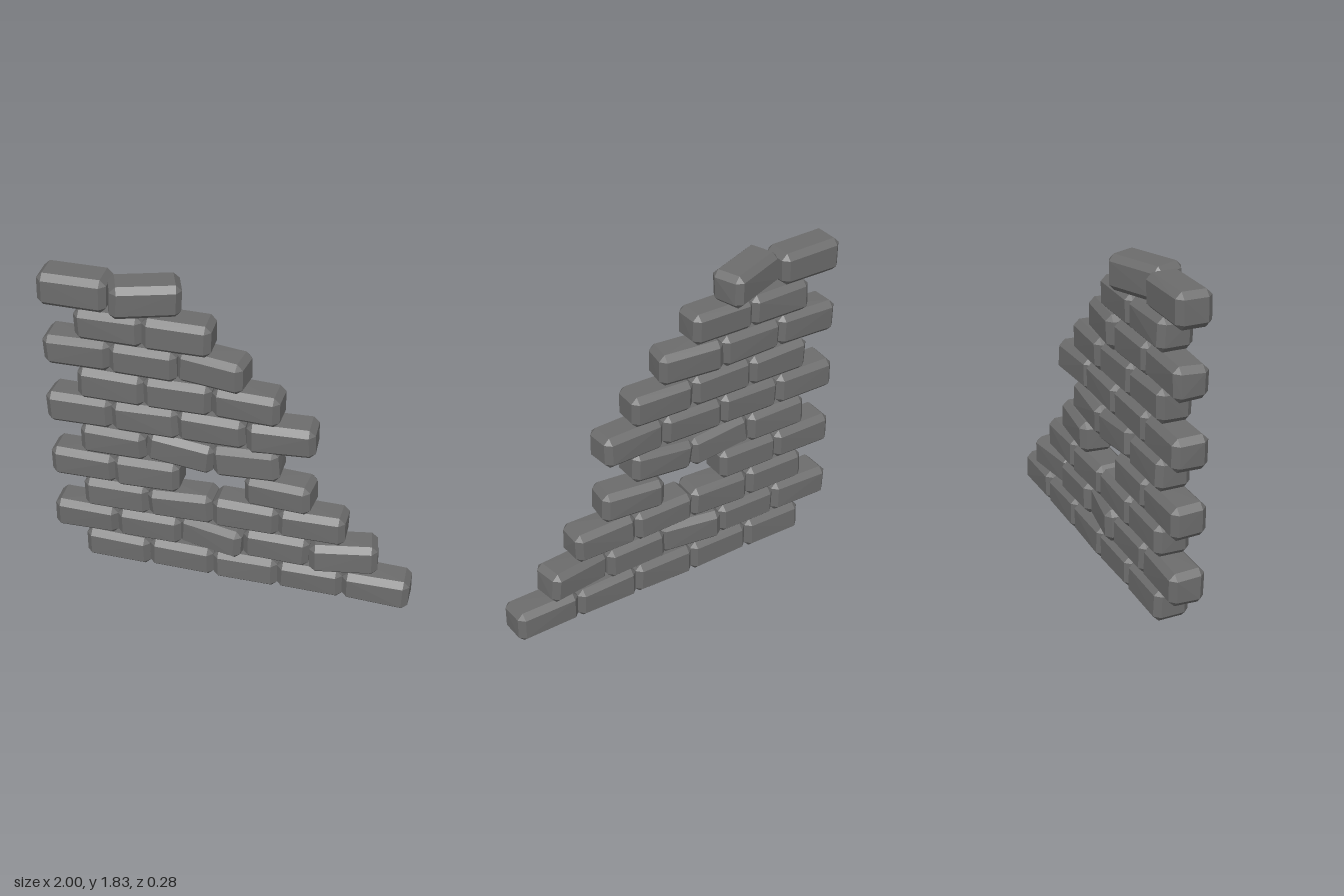
import * as THREE from 'three';
import { ConvexGeometry } from 'three/addons/geometries/ConvexGeometry.js';

const W = 0.364, H = 0.182, D = 0.188; // brick size
const BEVEL = 0.032;
const ROW = 0.1815; // course height

// Each course: list of [centre x, yaw degrees, roll degrees, z offset]
const COURSES = [
  [[-0.635, 0, 0], [-0.27, 0, -0.5], [0.09, 0, 1], [0.452, 0, 0], [0.815, 0, -1]],
  [[-0.812, 0, 0], [-0.452, 0, 0.5], [-0.094, -10, -1], [0.264, 0, 0], [0.625, 8, 2]],
  [[-0.633, 0, 0], [-0.27, 0, 2.5], [0.09, 0, -0.5], [0.452, 0, 0]],
  [[-0.812, 0, 0], [-0.457, 0, 1], [0.27, -5, 1]],
  [[-0.635, 0, 0], [-0.266, 0, -6], [0.092, -2, 5]],
  [[-0.814, 0, 0], [-0.452, 0, 1], [-0.094, 0, 0.5], [0.272, 4, 1]],
  [[-0.633, 0, -0.5], [-0.275, 0, 0], [0.092, -2, 0]],
  [[-0.81, 0, 1], [-0.452, 0, 0], [-0.093, -7, -1.5]],
  [[-0.632, 0, 0], [-0.274, 0, -0.5]],
  [[-0.818, 0, -0.5], [-0.452, 20, -1.5, -0.003]],
];

// Small seeded generator for the hand-cut unevenness
function makeRandom(seed) {
  return () => {
    seed = (seed * 1664525 + 1013904223) % 4294967296;
    return seed / 4294967296 - 0.5;
  };
}

// Box with all edges and corners cut, each corner slightly displaced
function brickGeometry(random) {
  const points = [];
  for (const sx of [-1, 1]) for (const sy of [-1, 1]) for (const sz of [-1, 1]) {
    const x = W / 2 + random() * 0.006;
    const y = H / 2 + random() * 0.008;
    const z = D / 2 + random() * 0.008;
    for (let axis = 0; axis < 3; axis++) {
      const inset = [BEVEL, BEVEL, BEVEL];
      inset[axis] = 0;
      points.push(new THREE.Vector3(
        sx * (x - inset[0]), sy * (y - inset[1]), sz * (z - inset[2])));
    }
  }
  return new ConvexGeometry(points);
}

export function createModel() {
  const wall = new THREE.Group();
  wall.name = 'brokenWall';
  const stone = new THREE.MeshStandardMaterial({ color: 0x6c6c6c });
  stone.name = 'darkGreyStone';
  stone.flatShading = true;
  const random = makeRandom(7);

  COURSES.forEach((bricks, row) => {
    const course = new THREE.Group();
    course.name = `course${row + 1}`;
    course.position.y = 0.094 + row * ROW;
    bricks.forEach(([x, yaw, roll, z = 0], i) => {
      const brick = new THREE.Mesh(brickGeometry(random), stone);
      brick.name = `brick${i + 1}`;
      brick.position.set(x, 0, z);
      brick.rotation.set(0, THREE.MathUtils.degToRad(yaw), THREE.MathUtils.degToRad(roll));
      course.add(brick);
    });
    wall.add(course);
  });
  return wall;
}
